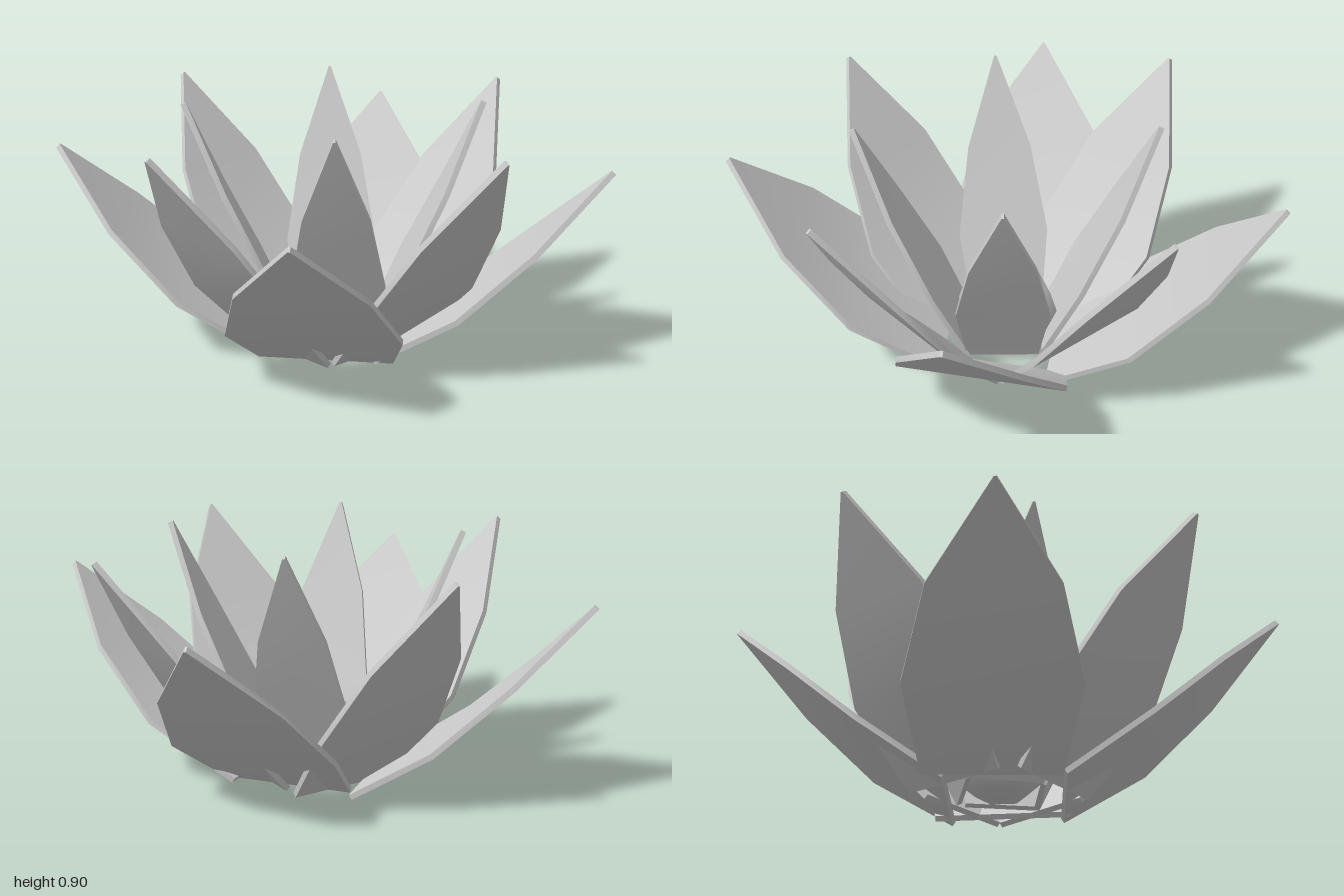
import * as THREE from 'three';
import { toCreasedNormals } from 'three/addons/utils/BufferGeometryUtils.js';

const material = new THREE.MeshStandardMaterial({ color: 0xcccccc });
const THICKNESS = 0.02;

// Thin pointed petal growing along +z; stations are [distance out, height, half width]
function petalGeometry(stations) {
  const positions = [], index = [];
  const last = stations.length - 1;
  stations.forEach(([r, y, half], i) => {
    const a = stations[Math.max(i - 1, 0)], b = stations[Math.min(i + 1, last)];
    const length = Math.hypot(b[0] - a[0], b[1] - a[1]);
    const ny = (b[0] - a[0]) / length * THICKNESS / 2;
    const nz = -(b[1] - a[1]) / length * THICKNESS / 2;
    for (const [sx, sn] of [[-1, 1], [1, 1], [1, -1], [-1, -1]]) {
      positions.push(sx * half, y + sn * ny, r + sn * nz);
    }
  });
  for (let i = 0; i < last; i++) {
    for (let k = 0; k < 4; k++) {
      const a = i * 4 + k, b = i * 4 + (k + 1) % 4;
      index.push(a, a + 4, b, b, a + 4, b + 4);
    }
  }
  const e = last * 4;
  index.push(0, 1, 2, 0, 2, 3, e, e + 2, e + 1, e, e + 3, e + 2);
  const geometry = new THREE.BufferGeometry();
  geometry.setAttribute('position', new THREE.Float32BufferAttribute(positions, 3));
  geometry.setIndex(index);
  return toCreasedNormals(geometry, 0.6);
}

// Each petal is [tip x, tip z, heading in degrees from +z towards +x]
const rings = [
  {
    name: 'outerPetal',
    stations: [[0.2, 0.018, 0.24], [0.5, 0.215, 0.3], [0.75, 0.445, 0.22], [0.985, 0.695, 0.004]],
    petals: [[0.1, 0.98, 5], [0.99, -0.037, 90], [-0.01, -0.99, 182.6], [-0.995, 0.06, 276.5]],
  },
  {
    name: 'middlePetal',
    stations: [[0.19, 0.02, 0.19], [0.42, 0.27, 0.25], [0.61, 0.55, 0.185], [0.81, 0.855, 0.004]],
    petals: [[0.68, 0.475, 53], [0.505, -0.67, 144], [-0.69, -0.48, 239.5], [-0.435, 0.69, 327]],
  },
  {
    name: 'innerPetal',
    stations: [[0.11, 0.03, 0.13], [0.235, 0.3, 0.165], [0.375, 0.59, 0.115], [0.505, 0.9, 0.004]],
    petals: [[0.13, 0.5, 10], [0.525, -0.12, 103], [-0.12, -0.53, 194], [-0.49, 0.14, 289]],
  },
];

export function createModel() {
  const flower = new THREE.Group();
  flower.name = 'flower';

  // Three rings of four petals
  for (const { name, stations, petals } of rings) {
    const geometry = petalGeometry(stations);
    const reach = stations[stations.length - 1][0];
    petals.forEach(([x, z, degrees], i) => {
      const yaw = THREE.MathUtils.degToRad(degrees);
      const petal = new THREE.Mesh(geometry, material);
      petal.name = `${name}${i + 1}`;
      petal.rotation.y = yaw;
      petal.position.set(x - reach * Math.sin(yaw), 0, z - reach * Math.cos(yaw));
      flower.add(petal);
    });
  }

  // Six-sided rounded heart of the flower
  const heart = new THREE.Mesh(new THREE.SphereGeometry(0.185, 6, 6), material);
  heart.name = 'heart';
  heart.scale.y = 0.82;
  heart.rotation.y = Math.PI / 6;
  heart.position.set(0.015, 0.155, -0.02);
  flower.add(heart);

  return flower;
}
